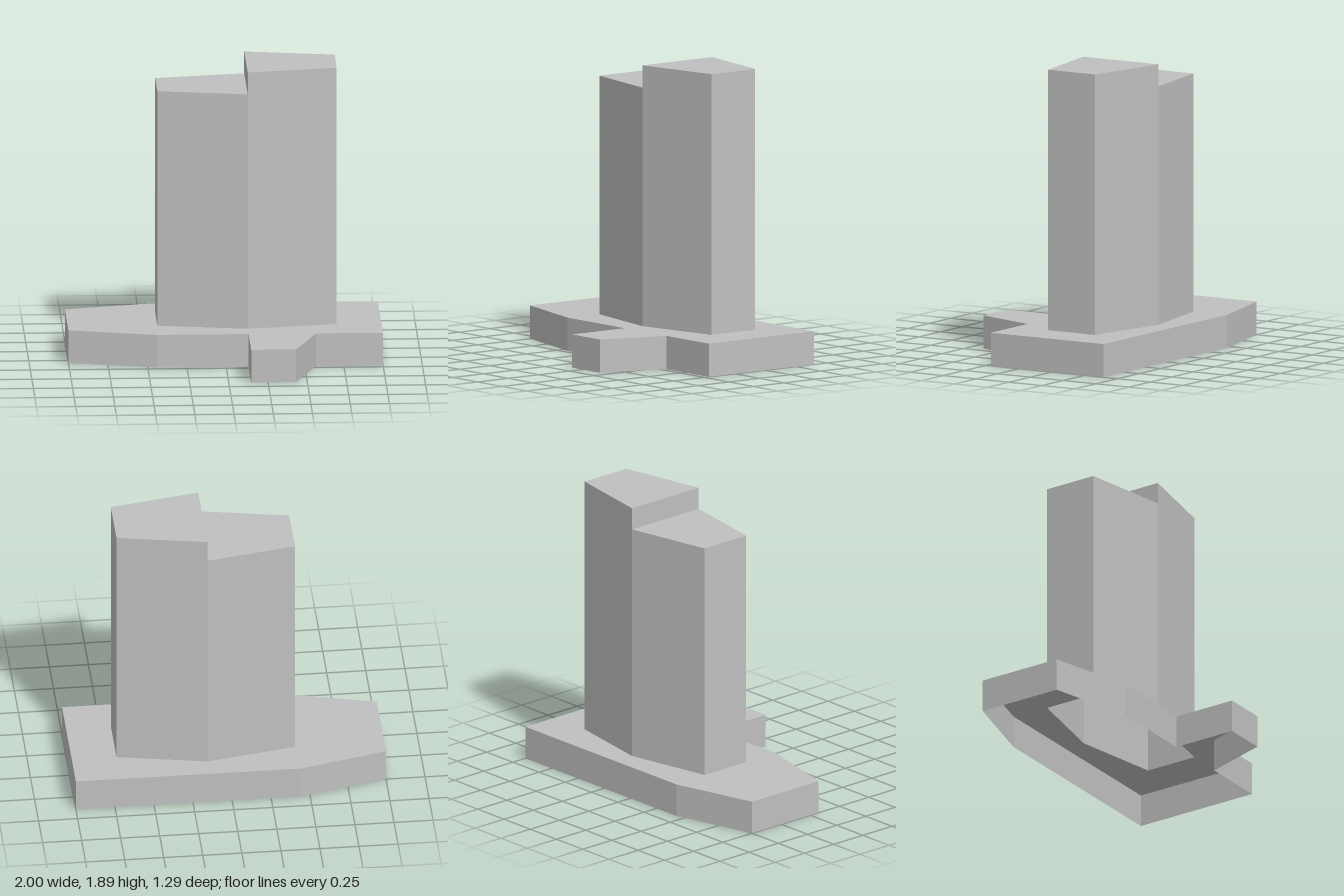
import * as THREE from 'three';

// Outlines are [x, z] points, anticlockwise as seen from above.
const podiumOutline = [
  [-1, 0.071], [-1, -0.5], [-0.44, -0.643], [1, -0.643], [1, 0.214],
  [0.571, 0.214], [0.429, 0.643], [0.143, 0.643], [0.143, 0.214], [-0.44, 0.214],
].reverse();
const front = [0.143, 0.071], back = [0.143, -0.5];
const tallOutline = [front, [0.714, -0.036], [0.714, -0.393], back];
const shortOutline = [back, [-0.429, -0.393], [-0.429, -0.036], front];
const towerOutline = [...tallOutline, ...shortOutline.slice(1, 3)];

const podiumTop = 0.214, shortTop = 1.75, tallTop = 1.893;

const toPoints = (outline) => outline.map(([x, z]) => new THREE.Vector2(x, -z));

// Flat horizontal surface at height y, with an optional opening
function slab(outline, y, opening) {
  const shape = new THREE.Shape(toPoints(outline));
  if (opening) shape.holes.push(new THREE.Path(toPoints(opening)));
  return new THREE.ShapeGeometry(shape).rotateX(-Math.PI / 2).translate(0, y, 0);
}

// Vertical walls along a run of points, facing outward
function walls(path, y0, y1) {
  const positions = [];
  for (let i = 0; i < path.length - 1; i++) {
    const [px, pz] = path[i], [qx, qz] = path[i + 1];
    positions.push(px, y0, pz, qx, y0, qz, qx, y1, qz, px, y0, pz, qx, y1, qz, px, y1, pz);
  }
  const geometry = new THREE.BufferGeometry();
  geometry.setAttribute('position', new THREE.Float32BufferAttribute(positions, 3));
  geometry.computeVertexNormals();
  return geometry;
}

export function createModel() {
  const concrete = new THREE.MeshStandardMaterial({ color: 0xc0c0c0, side: THREE.DoubleSide });
  concrete.name = 'concreteGrey';

  const model = new THREE.Group();
  model.name = 'towerBuilding';
  const add = (name, geometry) => {
    const mesh = new THREE.Mesh(geometry, concrete);
    mesh.name = name;
    model.add(mesh);
  };

  // Hollow podium with entrance wing, open below and into the tower
  add('podiumWalls', walls([...podiumOutline, podiumOutline[0]], 0, podiumTop));
  add('podiumRoof', slab(podiumOutline, podiumTop, towerOutline));

  // Two joined tower halves sharing one hollow hexagonal plan
  add('tallTowerWalls', walls(tallOutline, podiumTop, tallTop));
  add('tallTowerRoof', slab(tallOutline, tallTop));
  add('shortTowerWalls', walls(shortOutline, podiumTop, shortTop));
  add('shortTowerRoof', slab(shortOutline, shortTop));

  // Step between the two roofs
  add('roofStep', walls([back, front], shortTop, tallTop));

  return model;
}
